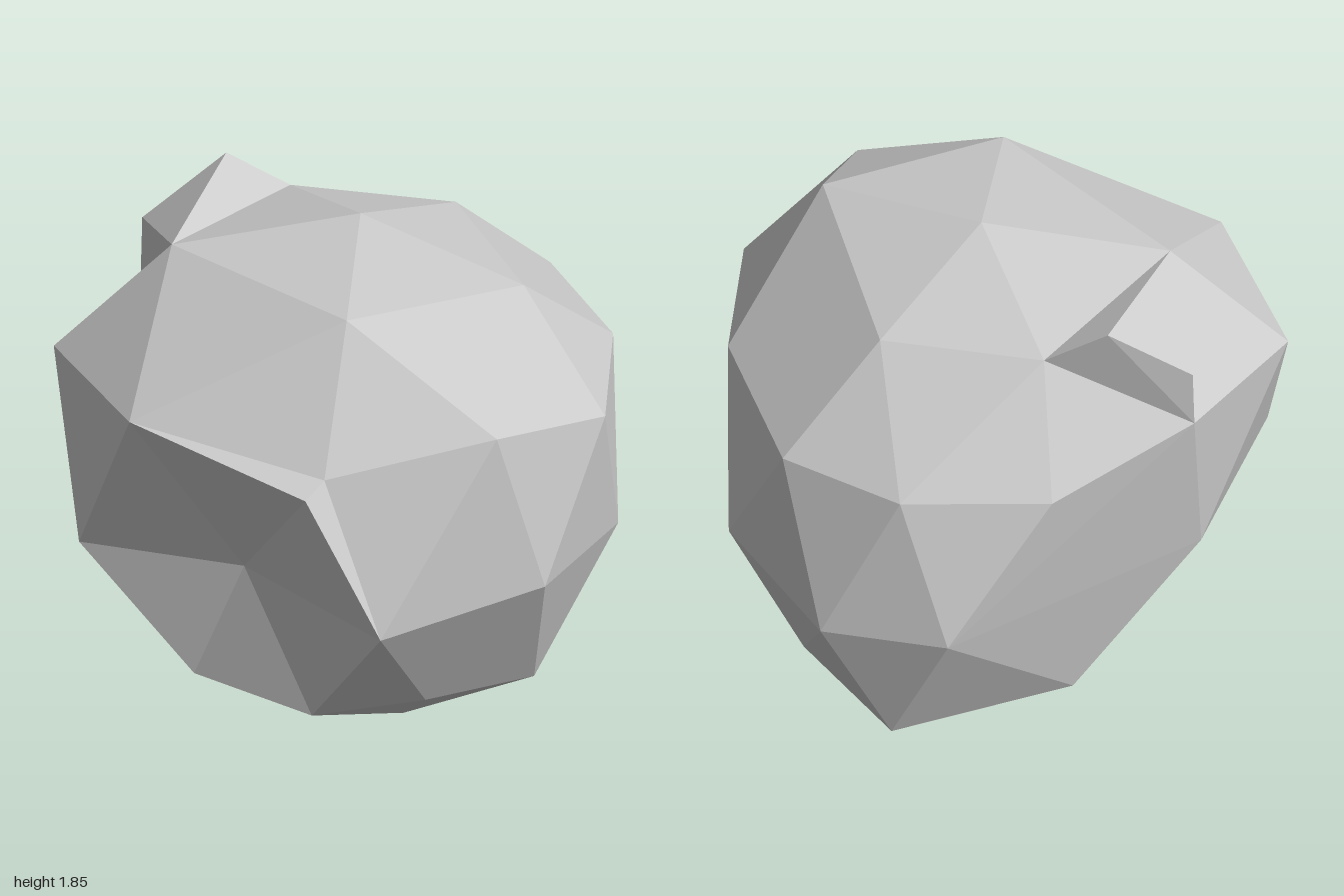
import * as THREE from 'three';
import { ConvexGeometry } from 'three/addons/geometries/ConvexGeometry.js';

const v = (x, y, z) => new THREE.Vector3(x, y, z);

// Corners shared by several parts
const browRight = v(-0.4, 1.4, 0.93);
const browRoot = v(0.33, 1.36, 0.89);
const browTip = v(0.32, 1.33, 1.0);
const cheekLeft = v(0.57, 0.83, 0.93);
const cheekRight = v(-0.68, 0.79, 0.78);
const chinLeft = v(0.19, 0.34, 0.73);
const chinRight = v(-0.27, 0.37, 0.72);
const hollow = v(-0.1, 0.81, 0.68);
const finFront = v(-0.58, 1.74, 0.33);
const finBack = v(-0.5, 1.67, -0.33);
const finSide = v(-0.9, 1.37, -0.02);

// Other corners of the boulder, in rings from top to bottom
const crown = [v(-0.04, 1.85, 0), v(0.59, 1.75, 0), v(0.21, 1.765, 0.53), v(0.03, 1.66, -0.52)];
const upper = [
  v(0.79, 1.47, 0.53), v(0.91, 1.34, 0.01), v(0.66, 1.35, -0.48), v(0.2, 1.31, -0.86),
  v(-0.26, 1.3, -0.85), v(-0.66, 1.26, -0.53), v(-0.915, 1.36, 0.54),
];
const middle = [
  v(0.89, 0.86, 0.38), v(0.84, 0.81, -0.2), v(0.51, 0.78, -0.71),
  v(-0.04, 0.77, -1), v(-0.45, 0.77, -0.85), v(-0.85, 0.78, 0.1),
];
const lower = [
  v(0.52, 0.4, 0.54), v(0.71, 0.35, 0.14), v(0.56, 0.42, -0.35), v(0.18, 0.46, -0.76),
  v(-0.22, 0.32, -0.84), v(-0.59, 0.31, -0.29), v(-0.5, 0.28, 0.42),
];
const base = [v(0.155, 0.01, 0.05), v(-0.26, 0, -0.03), v(0.1, 0.075, -0.455), v(-0.05, 0.12, 0.35)];

function geometryFrom(points) {
  const g = new THREE.BufferGeometry().setFromPoints(points);
  g.computeVertexNormals();
  return g;
}

// Convex shell, opened where all three corners lie on the rim of the hollow
function shellGeometry() {
  const rim = [browRight, browRoot, cheekLeft, chinLeft, chinRight, cheekRight];
  const hull = new ConvexGeometry([...crown, ...upper, ...middle, ...lower, ...base, ...rim, finFront, finBack, finSide]);
  const pos = hull.getAttribute('position');
  const kept = [];
  for (let i = 0; i < pos.count; i += 3) {
    const tri = [0, 1, 2].map((k) => new THREE.Vector3().fromBufferAttribute(pos, i + k));
    const inHollow = tri.every((p) => rim.some((r) => r.distanceTo(p) < 1e-4));
    if (!inHollow) kept.push(...tri);
  }
  return geometryFrom(kept);
}

// Fan of faces sinking to the middle of the hollow
function hollowGeometry() {
  const ring = [browRight, cheekRight, chinRight, chinLeft, cheekLeft, browTip];
  return geometryFrom(ring.flatMap((p, i) => [hollow, p, ring[(i + 1) % ring.length]]));
}

export function createModel() {
  const group = new THREE.Group();
  group.name = 'boulder';
  const stone = new THREE.MeshStandardMaterial({ color: 0xcccccc, flatShading: true });

  const add = (name, geometry) => {
    const mesh = new THREE.Mesh(geometry, stone);
    mesh.name = name;
    group.add(mesh);
  };

  add('boulderShell', shellGeometry());
  add('frontHollow', hollowGeometry());
  // Small ledge jutting out over the hollow
  add('browLedge', geometryFrom([browRight, browTip, browRoot, browRoot, browTip, cheekLeft]));
  // Wedge raised from one upper face
  add('sideWedge', new ConvexGeometry([finFront, finBack, finSide, v(-0.9, 1.58, -0.03), v(-0.69, 1.79, -0.23)]));

  return group;
}
